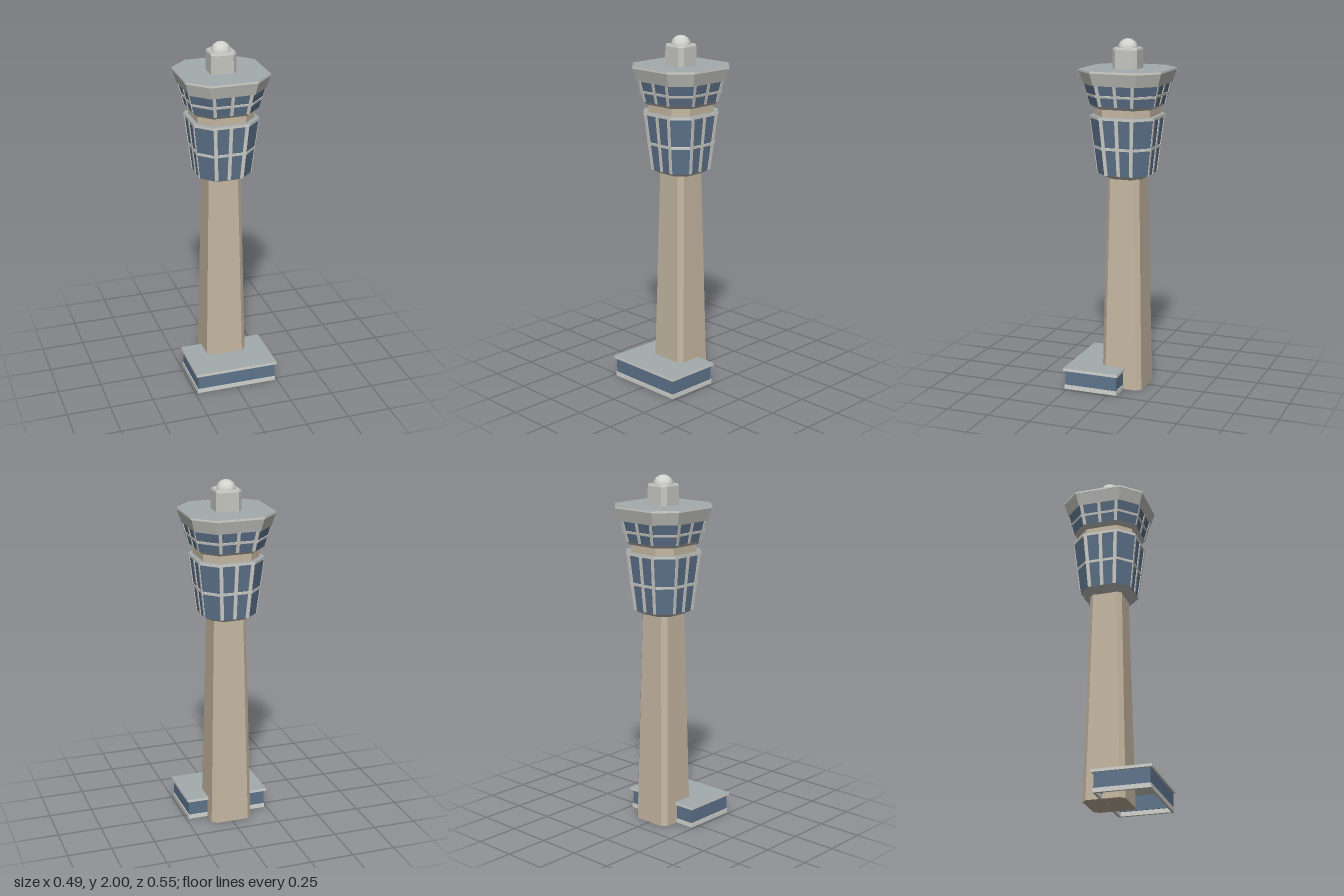
import * as THREE from 'three';

const mat = (name, color) => {
  const m = new THREE.MeshStandardMaterial({ color });
  m.name = name;
  return m;
};

// Corners of a chamfered square: half width h, half length of the flat side f
const corners = (y, h, f) => [
  [-f, h], [f, h], [h, f], [h, -f], [f, -h], [-f, -h], [-h, -f], [-h, f],
].map(([x, z]) => new THREE.Vector3(x, y, z));

export function createModel() {
  const tan = mat('tan concrete', 0xc6b8a3);
  const glass = mat('blue glass', 0x5f758d);
  const trim = mat('light trim', 0xd4d4cf);
  const grey = mat('grey panel', 0xc6c6c2);
  const roof = mat('roof grey', 0xa3acae);

  const model = new THREE.Group();
  model.name = 'controlTower';
  const tower = new THREE.Group();
  tower.name = 'tower';
  tower.position.z = -0.033;
  model.add(tower);

  const add = (parent, name, geometry, material) => {
    const mesh = new THREE.Mesh(geometry, material);
    mesh.name = name;
    parent.add(mesh);
    return mesh;
  };

  // Tapered chamfered-square block, with its own material for the top
  const tier = (name, side, top, y0, h0, y1, h1, flat = (h) => h * 0.56) => {
    const lo = corners(y0, h0, flat(h0));
    const hi = corners(y1, h1, flat(h1));
    const walls = [], cap = [];
    const c0 = new THREE.Vector3(0, y0, 0), c1 = new THREE.Vector3(0, y1, 0);
    for (let i = 0; i < 8; i++) {
      const j = (i + 1) % 8;
      walls.push(lo[i], lo[j], hi[j], lo[i], hi[j], hi[i], c0, lo[j], lo[i]);
      cap.push(c1, hi[i], hi[j]);
    }
    const g = new THREE.BufferGeometry().setFromPoints([...walls, ...cap]);
    g.addGroup(0, walls.length, 0);
    g.addGroup(walls.length, cap.length, 1);
    g.computeVertexNormals();
    add(tower, name, g, [side, top]);
    return { lo, hi };
  };

  // Flat bar lying on a wall with outward normal n
  const bar = (parent, a, b, n, width) => {
    const along = b.clone().sub(a);
    const length = along.length();
    along.normalize();
    const across = along.clone().cross(n).normalize();
    const mesh = add(parent, 'mullion', new THREE.BoxGeometry(width, length, 0.008), trim);
    mesh.quaternion.setFromRotationMatrix(new THREE.Matrix4().makeBasis(across, along, n));
    mesh.position.copy(a).add(b).multiplyScalar(0.5);
  };

  // Window frames over a glazed tier
  const frames = (name, { lo, hi }, width) => {
    const group = new THREE.Group();
    group.name = name;
    tower.add(group);
    for (let i = 0; i < 8; i++) {
      const j = (i + 1) % 8;
      const at = (t, s) => lo[i].clone().lerp(lo[j], t).lerp(hi[i].clone().lerp(hi[j], t), s);
      const n = lo[j].clone().sub(lo[i]).cross(hi[i].clone().sub(lo[i])).normalize();
      bar(group, at(0, 0.48), at(1, 0.48), n, width * 0.75);
      if (i % 2 === 0) {
        for (const t of [0.06, 0.5, 0.94]) bar(group, at(t, 0), at(t, 1), n, width);
      }
    }
  };

  // Shaft
  tier('shaft', tan, tan, 0, 0.12, 1.24, 0.094, (h) => h - 0.025);

  // Lower cab
  tier('lowerCollar', grey, grey, 1.225, 0.1, 1.252, 0.148);
  const lower = tier('lowerGlass', glass, glass, 1.252, 0.148, 1.567, 0.184);
  frames('lowerFrames', lower, 0.02);
  tier('lowerRim', trim, roof, 1.565, 0.187, 1.58, 0.188);

  // Neck and upper cab
  tier('neck', tan, tan, 1.578, 0.163, 1.63, 0.163);
  tier('upperCollar', grey, grey, 1.622, 0.168, 1.64, 0.187);
  const upper = tier('upperGlass', glass, glass, 1.64, 0.187, 1.757, 0.215);
  frames('upperFrames', upper, 0.018);

  // Flared roof
  tier('roofFlare', grey, grey, 1.755, 0.219, 1.825, 0.239);
  tier('roofRim', trim, roof, 1.825, 0.241, 1.836, 0.241);

  // Roof house and dome
  const narrow = (h) => h - 0.023;
  tier('roofHouse', grey, grey, 1.834, 0.073, 1.94, 0.072, narrow);
  tier('roofHouseTop', grey, grey, 1.94, 0.072, 1.95, 0.068, narrow);
  const dome = add(tower, 'dome', new THREE.SphereGeometry(0.057, 10, 8), trim);
  dome.position.y = 1.943;

  // Base building: hollow wall bands under a roof slab
  const base = new THREE.Group();
  base.name = 'baseBuilding';
  base.position.z = 0.107;
  model.add(base);
  const rect = (Type, w, d) => new Type([
    new THREE.Vector2(-w, -d), new THREE.Vector2(w, -d),
    new THREE.Vector2(w, d), new THREE.Vector2(-w, d),
  ]);
  const band = (name, material, y, height, w, d) => {
    const shape = rect(THREE.Shape, w, d);
    shape.holes.push(rect(THREE.Path, w - 0.015, d - 0.015));
    const g = new THREE.ExtrudeGeometry(shape, { depth: height, bevelEnabled: false });
    g.rotateX(-Math.PI / 2).translate(0, y, 0);
    add(base, name, g, material);
  };
  band('baseSill', trim, 0, 0.025, 0.236, 0.159);
  band('baseGlass', glass, 0.025, 0.086, 0.232, 0.155);
  const slab = add(base, 'baseRoof', new THREE.BoxGeometry(0.486, 0.016, 0.332),
    [trim, trim, roof, trim, trim, trim]);
  slab.position.y = 0.118;

  return model;
}
